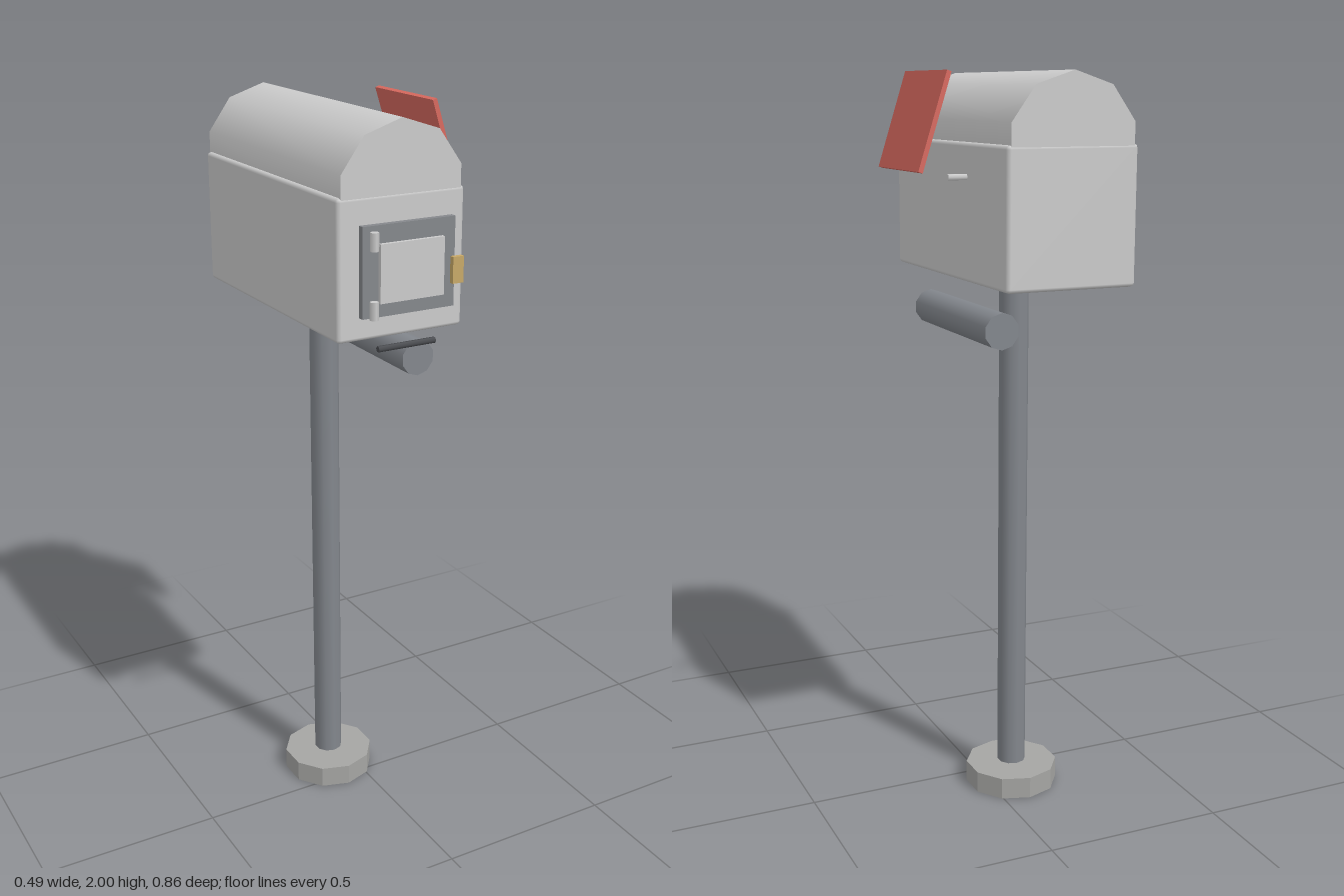
import * as THREE from 'three';
import { RoundedBoxGeometry } from 'three/addons/geometries/RoundedBoxGeometry.js';

const CX = -0.07; // centre line of box and post
const CZ = -0.058; // middle of the box along z

const paint = (color = 0xcccccc, flatShading = false) =>
  new THREE.MeshStandardMaterial({ color, flatShading });

export function createModel() {
  const model = new THREE.Group();
  const body = paint();
  const steel = paint(0x83878d);
  const darkSteel = paint(0x85888c, true);
  const stone = paint(0xa5a5a3, true);
  const iron = paint(0x4a4c50);
  const brass = paint(0xc8a968);
  const red = paint(0xd8695f);

  const add = (name, geometry, material, x, y, z) => {
    const mesh = new THREE.Mesh(geometry, material);
    mesh.name = name;
    mesh.position.set(x, y, z);
    model.add(mesh);
    return mesh;
  };
  const box = (name, w, h, d, material, x, y, z) =>
    add(name, new THREE.BoxGeometry(w, h, d), material, x, y, z);
  // Cylinder lying along the given axis
  const rod = (name, r, length, sides, axis, material, x, y, z) => {
    const g = new THREE.CylinderGeometry(r, r, length, sides);
    if (axis === 'x') g.rotateZ(Math.PI / 2);
    if (axis === 'z') g.rotateX(Math.PI / 2);
    return add(name, g, material, x, y, z);
  };

  // Post and foot
  rod('base', 0.13, 0.06, 10, 'y', stone, CX - 0.002, 0.03, -0.086);
  rod('post', 0.04, 1.415, 10, 'y', steel, CX - 0.002, 1.4725 - 0.7, -0.086);

  // Box with its ten-sided rounded roof
  add('boxBody', new RoundedBoxGeometry(0.354, 0.352, 0.742, 1, 0.01), body, CX, 1.65, CZ);
  rod('roof', 0.175, 0.738, 10, 'z', body, CX, 1.825, CZ);

  // Door in layers, with hinges and latch
  box('doorFrame', 0.257, 0.223, 0.017, darkSteel, -0.0715, 1.652, 0.3425);
  box('doorPanel', 0.178, 0.144, 0.011, body, -0.071, 1.649, 0.3615);
  for (const y of [1.567, 1.733]) rod('hinge', 0.011, 0.045, 6, 'y', body, -0.185, y, 0.38);
  box('latch', 0.03, 0.065, 0.013, brass, 0.018, 1.652, 0.4215);
  rod('lowerRail', 0.008, 0.162, 6, 'x', iron, -0.074, 1.459, 0.346);

  // Signal flag and its pivot
  box('flag', 0.0125, 0.257, 0.29, red, 0.2, 1.877, CZ).rotation.z = 0.31;
  rod('flagPivot', 0.0085, 0.05, 6, 'x', body, 0.163, 1.745, -0.253);

  // Newspaper tube under the box
  rod('newspaperTube', 0.048, 0.485, 10, 'z', steel, 0.058, 1.36, -0.053);

  return model;
}
